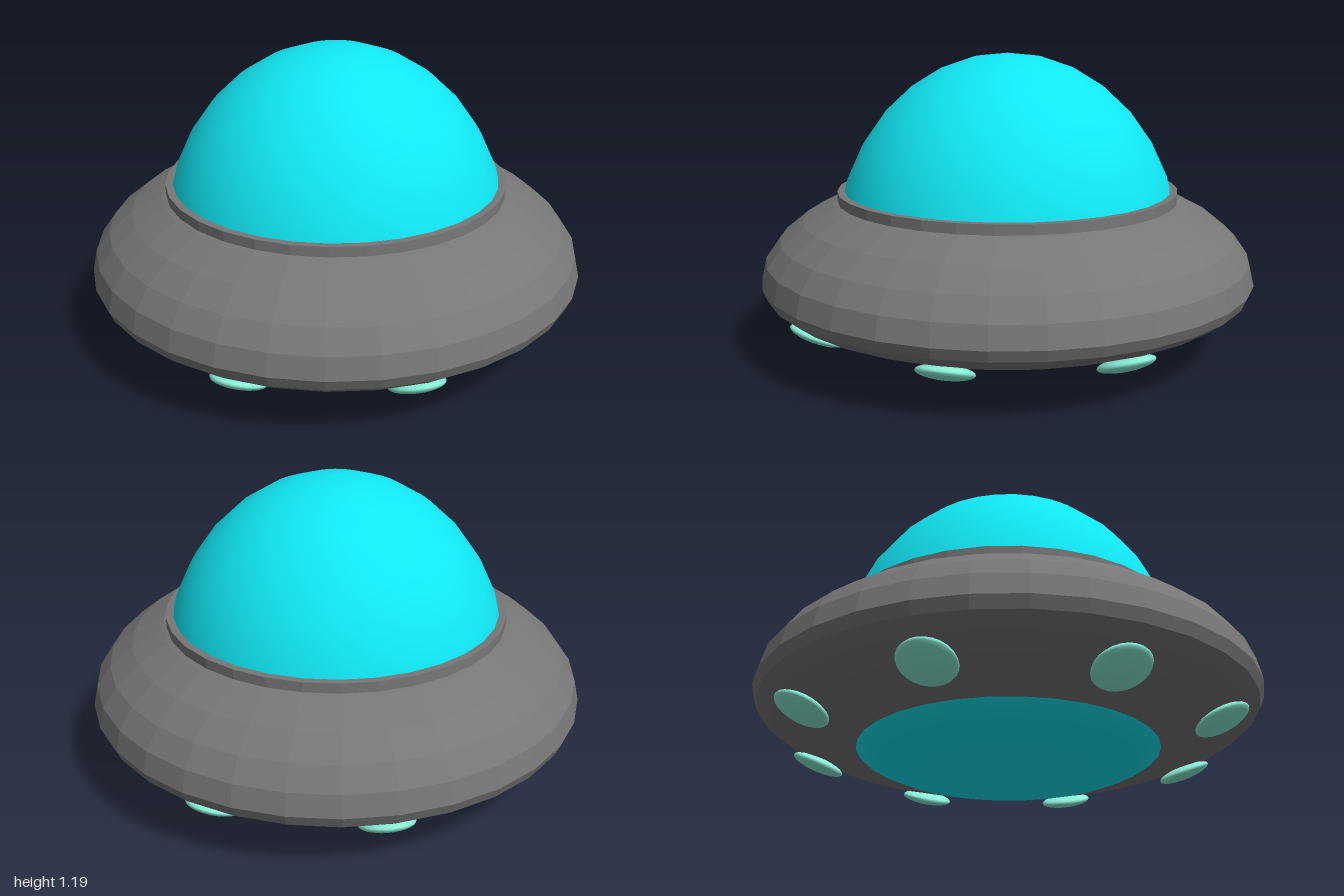
import * as THREE from 'three';

const SIDES = 32;

export function createModel() {
  const model = new THREE.Group();
  const hullMat = new THREE.MeshStandardMaterial({ color: 0x777777, flatShading: true });
  const glassMat = new THREE.MeshStandardMaterial({ color: 0x10e8f5 });
  const lightMat = new THREE.MeshStandardMaterial({ color: 0x8af0d8 });

  const add = (name, geometry, material, parent = model) => {
    const mesh = new THREE.Mesh(geometry, material);
    mesh.name = name;
    parent.add(mesh);
    return mesh;
  };

  // Faceted saucer hull: shallow half-ellipse below the rim, taller one above
  const rimY = 0.295;
  const profile = [];
  for (let i = -8; i <= 8; i++) {
    const a = (i * Math.PI) / 16;
    const height = i < 0 ? 0.23 : 0.43;
    profile.push(new THREE.Vector2(Math.max(0, Math.cos(a)), rimY + height * Math.sin(a)));
  }
  add('hull', new THREE.LatheGeometry(profile, SIDES), hullMat);

  // Collar the canopy sits in
  const collar = add('canopyCollar', new THREE.CylinderGeometry(0.69, 0.69, 0.045, SIDES), hullMat);
  collar.position.y = 0.6225;

  // Glass canopy, its lower part sunk into the hull
  const canopy = add('canopy', new THREE.SphereGeometry(1, SIDES, 8, 0, Math.PI * 2, 0, Math.PI / 2), glassMat);
  canopy.scale.set(0.7, 0.8, 0.7);
  canopy.position.y = 0.39;

  // Glass belly lens
  const belly = add('bellyLens', new THREE.SphereGeometry(1, SIDES, 16), glassMat);
  belly.scale.set(0.62, 0.15, 0.62);
  belly.position.y = 0.152;

  // Eight flattened lights tilted to follow the underside
  const lightGeo = new THREE.SphereGeometry(1, 24, 12);
  for (let i = 0; i < 8; i++) {
    const arm = new THREE.Group();
    arm.name = 'undersideLight' + (i + 1);
    arm.rotation.y = (i * Math.PI) / 4;
    model.add(arm);
    const lamp = add('lightLens', lightGeo, lightMat, arm);
    lamp.position.set(0.835, 0.15, 0);
    lamp.rotation.z = 0.41;
    lamp.scale.set(0.11, 0.028, 0.107);
  }
  return model;
}
